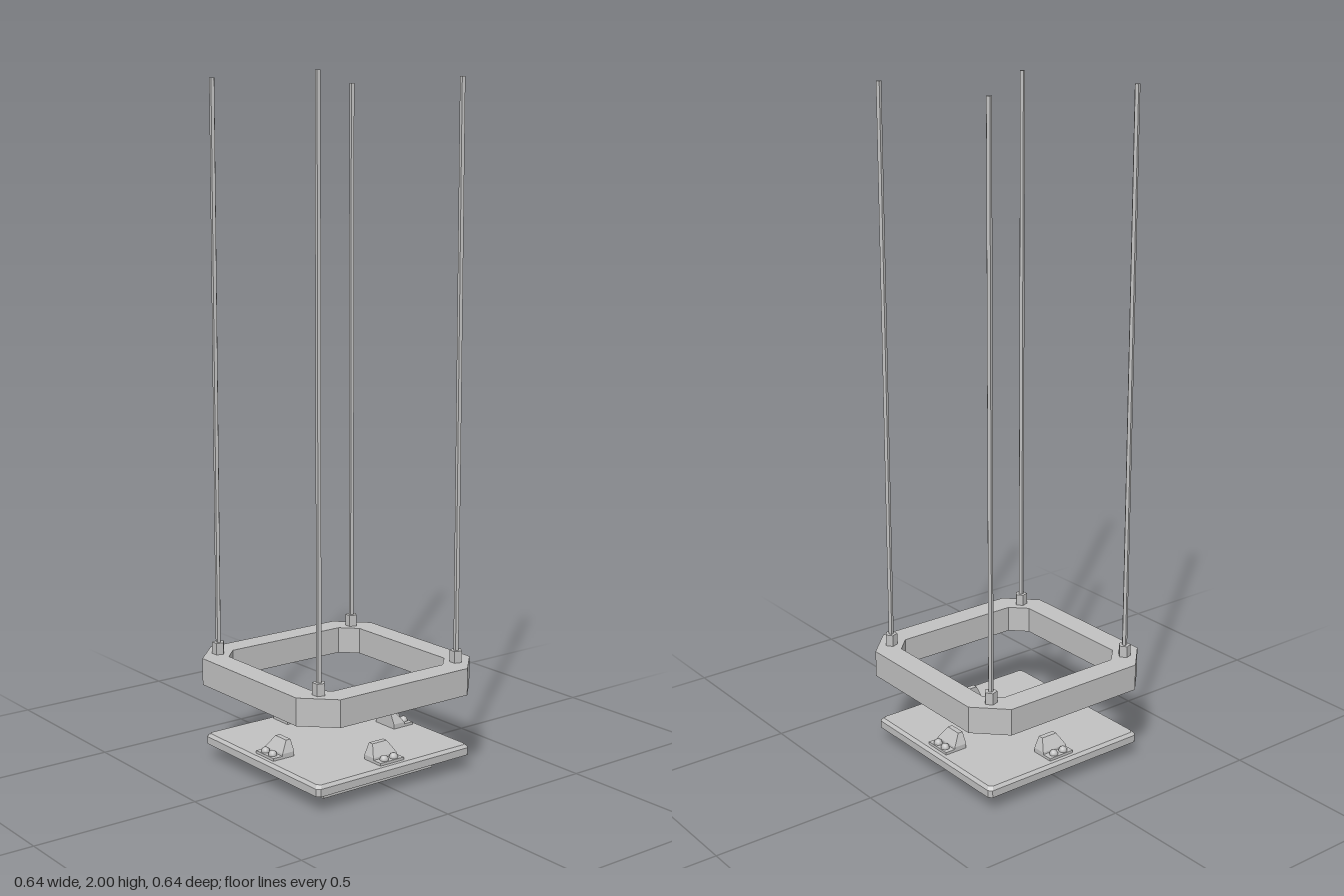
import * as THREE from 'three';
import { ConvexGeometry } from 'three/addons/geometries/ConvexGeometry.js';

const steel = new THREE.MeshStandardMaterial({ color: 0xc0c0c0 });
steel.name = 'light grey steel';

// Square outline with cut corners: h = half side, c = corner cut
function cutSquare(h, c, Type = THREE.Shape) {
  const k = h - c;
  return new Type([[h, -k], [h, k], [k, h], [-k, h], [-h, k], [-h, -k], [-k, -h], [k, -h]]
    .map(([x, y]) => new THREE.Vector2(x, y)));
}

// Extrude an outline upwards from y0 to y1, scaling its top edge for a taper
function slab(shape, y0, y1, topScale = 1) {
  const g = new THREE.ExtrudeGeometry(shape, { depth: y1 - y0, bevelEnabled: false });
  g.rotateX(-Math.PI / 2);
  const p = g.attributes.position;
  for (let i = 0; i < p.count; i++) {
    if (p.getY(i) > (y1 - y0) / 2) p.setXYZ(i, p.getX(i) * topScale, p.getY(i), p.getZ(i) * topScale);
  }
  g.translate(0, y0, 0);
  g.computeVertexNormals();
  return g;
}

function add(parent, name, geometry, x = 0, y = 0, z = 0) {
  const m = new THREE.Mesh(geometry, steel);
  m.name = name;
  m.position.set(x, y, z);
  parent.add(m);
  return m;
}

// Five-sided upright post, split so its sides stay flat
function post(r, h) {
  const g = new THREE.CylinderGeometry(r, r, h, 5).toNonIndexed();
  g.rotateY(Math.PI);
  g.computeVertexNormals();
  return g;
}

export function createModel() {
  const model = new THREE.Group();
  model.name = 'suspendedPlatform';

  // Upper ring frame
  const ring = cutSquare(0.318, 0.086);
  ring.holes.push(cutSquare(0.246, 0.046, THREE.Path));
  add(model, 'ringFrame', slab(ring, 0.245, 0.325));

  // Suspension rods in corner sockets
  const socket = post(0.019, 0.04), rod = post(0.008, 1.67);
  for (const x of [-0.247, 0.247]) {
    for (const z of [-0.251, 0.251]) {
      add(model, 'rodSocket', socket, x, 0.34, z);
      add(model, 'rod', rod, x, 1.165, z);
    }
  }

  // Base plate with bevelled rim, and the flared foot below it
  const outline = cutSquare(0.28, 0.01);
  add(model, 'basePlate', slab(outline, 0.045, 0.067));
  add(model, 'basePlateRim', slab(outline, 0.067, 0.076, 0.97));
  add(model, 'footPad', slab(cutSquare(0.202, 0.001), 0, 0.008));
  add(model, 'footTaper', slab(cutSquare(0.202, 0.001), 0.008, 0.046, 0.8));

  // Four bolted brackets, one per side
  const points = [];
  for (const s of [-1, 1]) {
    for (const [w, y, front] of [[0.043, 0.075, 0.23], [0.043, 0.09, 0.228], [0.026, 0.122, 0.203]]) {
      points.push(new THREE.Vector3(s * w, y, 0.187), new THREE.Vector3(s * w, y, front));
    }
  }
  const wedge = new ConvexGeometry(points);
  const flange = new THREE.BoxGeometry(0.086, 0.009, 0.073);
  const bolt = new THREE.SphereGeometry(0.013, 10, 8);
  for (let i = 0; i < 4; i++) {
    const bracket = new THREE.Group();
    bracket.name = 'bracket';
    bracket.rotation.y = i * Math.PI / 2;
    add(bracket, 'bracketWedge', wedge);
    add(bracket, 'bracketFlange', flange, 0, 0.0795, 0.2235);
    for (const x of [-0.0175, 0.0175]) add(bracket, 'bolt', bolt, x, 0.086, 0.245);
    model.add(bracket);
  }
  return model;
}
